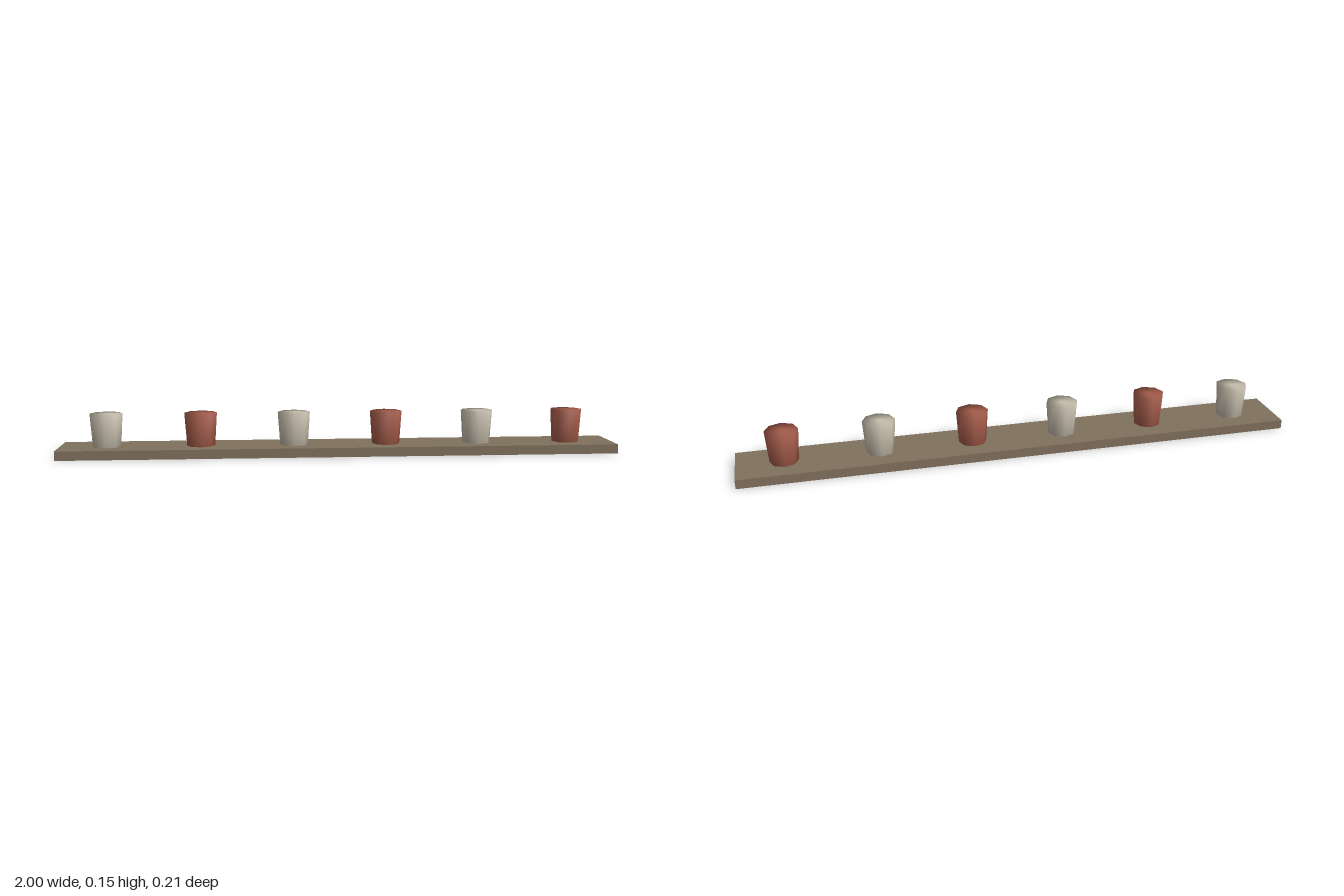
import * as THREE from 'three';
import { mergeVertices } from 'three/addons/utils/BufferGeometryUtils.js';

// Tapered eight-sided pot with shading that runs smoothly over its rim
function potGeometry(topRadius, bottomRadius, height) {
  const geometry = new THREE.CylinderGeometry(topRadius, bottomRadius, height, 8);
  geometry.deleteAttribute('normal');
  geometry.deleteAttribute('uv');
  const welded = mergeVertices(geometry, 1e-4);
  welded.computeVertexNormals();
  return welded;
}

export function createModel() {
  const wood = new THREE.MeshStandardMaterial({ name: 'wood', color: 0x80715c });
  const terracotta = new THREE.MeshStandardMaterial({ name: 'terracotta', color: 0xa65c4a });
  const cream = new THREE.MeshStandardMaterial({ name: 'cream', color: 0xc8bfae });

  const model = new THREE.Group();
  model.name = 'potShelf';

  // Shelf board
  const boardTop = 0.033;
  const board = new THREE.Mesh(new THREE.BoxGeometry(2, boardTop, 0.21), wood);
  board.name = 'board';
  board.position.y = boardTop / 2;
  model.add(board);

  // Row of pots in alternating colours
  const count = 6;
  const potHeight = 0.118;
  const geometry = potGeometry(0.058, 0.05, potHeight);
  for (let i = 0; i < count; i++) {
    const pot = new THREE.Mesh(geometry, i % 2 ? terracotta : cream);
    pot.name = `pot${i + 1}`;
    pot.position.set(-1 + (2 * (i + 0.5)) / count, boardTop + potHeight / 2, 0.0045);
    model.add(pot);
  }
  return model;
}
